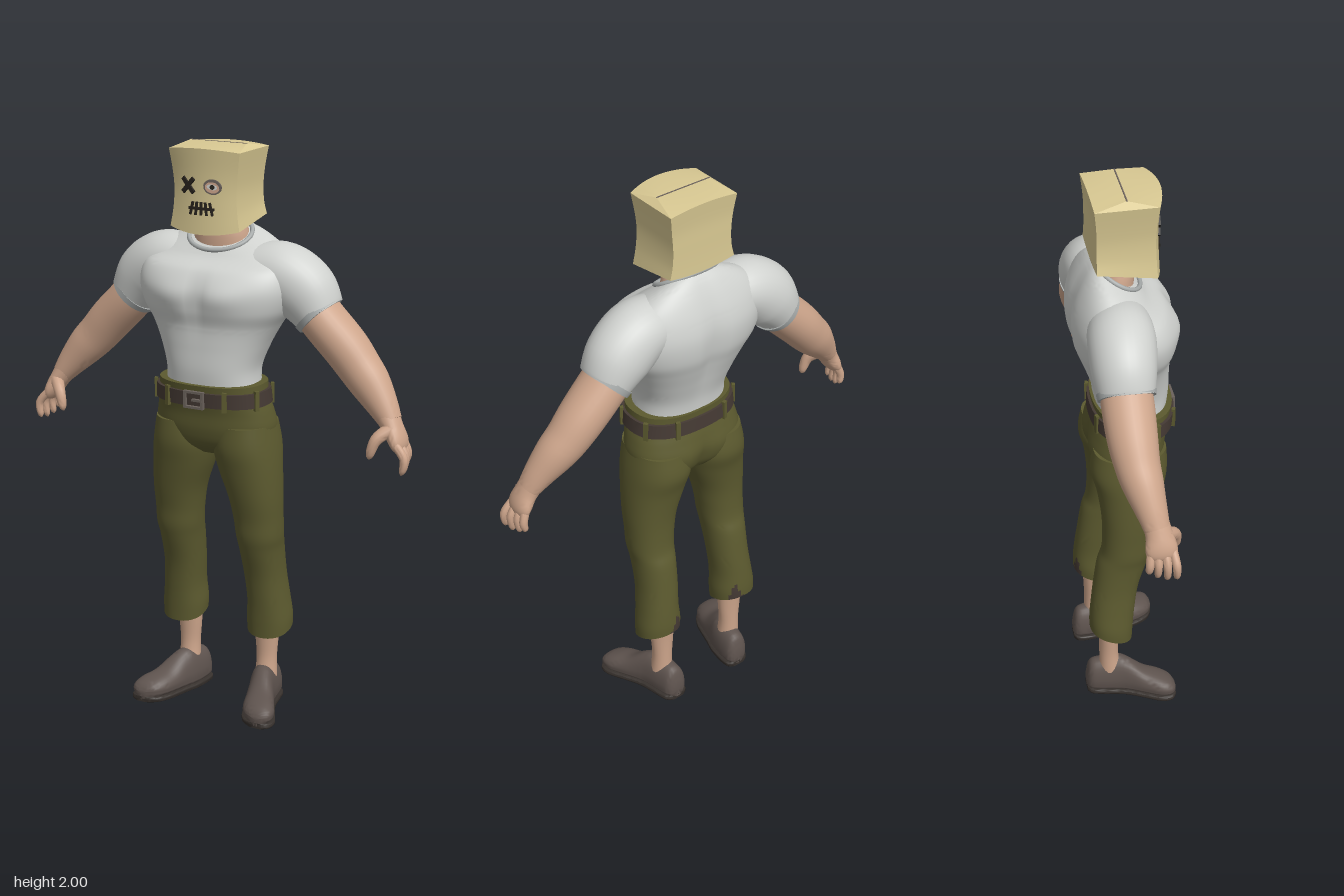
import * as THREE from 'three';
import { toCreasedNormals } from 'three/addons/utils/BufferGeometryUtils.js';

const COLORS = {
  skin: 0xcda58b, shirt: 0xd0d2cf, trim: 0xa9adac, trousers: 0x5c5a2f, belt: 0x453a34,
  buckle: 0x6b625c, shoe: 0x5f544f, paper: 0xd9c993, ink: 0x28231d, sole: 0x37312d,
};

// Catmull-Rom through rows of numbers
function spline(rows, t) {
  const n = rows.length - 1, k = Math.min(Math.floor(t * n), n - 1), f = t * n - k;
  const at = (i) => rows[Math.max(0, Math.min(n, i))];
  return rows[0].map((_, c) => {
    const [a, b, d, e] = [at(k - 1)[c], at(k)[c], at(k + 1)[c], at(k + 2)[c]];
    return b + 0.5 * f * (d - a + f * (2 * a - 5 * b + 4 * d - e + f * (3 * (b - d) + e - a)));
  });
}

// Capped skin over closed rings; point(t, angle) gives a position, pick chooses a material slot
function loft(rows, cols, point, pick) {
  const pos = [], idx = [], alt = [];
  for (let i = 0; i <= rows; i++)
    for (let j = 0; j < cols; j++) pos.push(...point(i / rows, (j / cols) * Math.PI * 2));
  for (let i = 0; i < rows; i++)
    for (let j = 0; j < cols; j++) {
      const a = i * cols + j, b = i * cols + ((j + 1) % cols);
      const list = pick && pick(i / rows, (j / cols) * Math.PI * 2) ? alt : idx;
      list.push(a, a + cols, b, b, a + cols, b + cols);
    }
  for (const i of [0, rows]) {
    const c = [0, 0, 0], mid = pos.length / 3;
    for (let j = 0; j < cols; j++) for (let k = 0; k < 3; k++) c[k] += pos[(i * cols + j) * 3 + k] / cols;
    pos.push(...c);
    for (let j = 0; j < cols; j++) {
      const a = i * cols + j, b = i * cols + ((j + 1) % cols);
      if (i) idx.push(mid, b, a); else idx.push(mid, a, b);
    }
  }
  const g = new THREE.BufferGeometry();
  g.setAttribute('position', new THREE.Float32BufferAttribute(pos, 3));
  g.setIndex([...idx, ...alt]);
  if (pick) { g.addGroup(0, idx.length, 0); g.addGroup(idx.length, alt.length, 1); }
  return g;
}

// Tube along points [x, y, z, radius in plane, radius in depth]
function limb(pts, rows = 16, cols = 20, round = false) {
  return loft(rows, cols, (t, a) => {
    const p = spline(pts, t), q0 = spline(pts, Math.max(0, t - 0.01)), q1 = spline(pts, Math.min(1, t + 0.01));
    const d = new THREE.Vector3(q1[0] - q0[0], q1[1] - q0[1], q1[2] - q0[2]).normalize();
    const e2 = new THREE.Vector3(0, 0, 1).addScaledVector(d, -d.z).normalize();
    const e1 = d.clone().cross(e2);
    const s = round ? Math.sqrt(Math.max(0.03, 1 - Math.max(0, (t - 0.75) / 0.25) ** 2)) : 1;
    return new THREE.Vector3(p[0], p[1], p[2]).addScaledVector(e1, Math.cos(a) * p[3] * s)
      .addScaledVector(e2, Math.sin(a) * p[4] * s).toArray();
  });
}

const spow = (v, e) => Math.sign(v) * Math.abs(v) ** e;

// Upright body from rows [y, centre x, half width, front z, back z, tilt]
function body(data, rows, cols, n = 2.4, shape = (x, y, z) => z, pick) {
  return loft(rows, cols, (t, a) => {
    const [y, cx, w, zf, zb, tilt] = spline(data, t);
    const x = cx + w * spow(Math.cos(a), 2 / n);
    const z = (zf + zb) / 2 + ((zf - zb) / 2) * spow(Math.sin(a), 2 / n);
    return [x, y - tilt * (z - (zf + zb) / 2), shape(x, y, z)];
  }, pick);
}

function mirrored(g) {
  const m = g.clone().applyMatrix4(new THREE.Matrix4().makeScale(-1, 1, 1)), ix = m.index.array;
  for (let i = 0; i < ix.length; i += 3) [ix[i], ix[i + 1]] = [ix[i + 1], ix[i]];
  return m;
}

export function createModel() {
  const model = new THREE.Group();
  model.name = 'figure';
  const mats = {};
  for (const k in COLORS) { mats[k] = new THREE.MeshStandardMaterial({ color: COLORS[k] }); mats[k].name = k; }
  const add = (name, g, mat, crease = 0.9) => {
    const m = new THREE.Mesh(crease ? toCreasedNormals(g, crease) : g, mat);
    m.name = name;
    model.add(m);
    return m;
  };
  const pair = (name, g, mat) => { add(name + 'Left', g, mat); add(name + 'Right', mirrored(g), mat); };
  const bell = (v, c, w) => Math.exp(-(((v - c) / w) ** 2));

  // Shirt with chest and back modelling
  add('shirt', body([
    [1.17, 0, 0.165, 0.145, -0.09, 0], [1.25, 0, 0.163, 0.155, -0.1, 0], [1.33, 0, 0.19, 0.155, -0.125, 0],
    [1.4, 0, 0.225, 0.157, -0.15, 0], [1.46, 0, 0.262, 0.17, -0.17, 0], [1.53, 0, 0.28, 0.168, -0.177, 0],
    [1.59, 0, 0.27, 0.137, -0.168, 0], [1.635, 0, 0.235, 0.09, -0.145, 0.15], [1.67, 0, 0.175, 0.07, -0.115, 0.4],
    [1.69, 0, 0.112, 0.06, -0.09, 0.6],
  ], 60, 72, 2.4, (x, y, z) => z > 0
    ? z + (0.013 * bell(Math.abs(x), 0.09, 0.075) * bell(y, 1.51, 0.05) - 0.012 * bell(x, 0, 0.025) * bell(y, 1.5, 0.09)) * Math.min(1, z / 0.08)
    : z + 0.018 * bell(x, 0, 0.035) * bell(y, 1.47, 0.16) * Math.min(1, -z / 0.08)), mats.shirt);
  pair('sleeve', limb([[0.12, 1.575, -0.03, 0.09, 0.1], [0.22, 1.57, -0.04, 0.108, 0.11],
    [0.3, 1.515, -0.048, 0.112, 0.106], [0.355, 1.445, -0.05, 0.086, 0.092]], 24, 32), mats.shirt);
  pair('sleeveHem', limb([[0.345, 1.456, -0.05, 0.091, 0.096], [0.36, 1.441, -0.05, 0.088, 0.094]], 2, 32), mats.trim);
  const ring = [];
  for (let i = 0; i < 24; i++) {
    const a = (i / 24) * Math.PI * 2, z = 0.076 * Math.sin(a);
    ring.push(new THREE.Vector3(0.113 * Math.cos(a), 1.692 - 0.6 * z, z - 0.015));
  }
  add('collar', new THREE.TubeGeometry(new THREE.CatmullRomCurve3(ring, true), 64, 0.008, 8, true), mats.trim, 0);
  add('neck', limb([[0, 1.6, -0.03, 0.11, 0.07], [0, 1.69, -0.025, 0.1, 0.066], [0, 1.74, -0.02, 0.088, 0.058], [0, 1.82, 0, 0.08, 0.06]], 12, 28), mats.skin);

  // Arms and hands
  pair('arm', limb([[0.3, 1.5, -0.05, 0.075, 0.08], [0.37, 1.425, -0.05, 0.077, 0.085], [0.45, 1.345, -0.05, 0.077, 0.081],
    [0.505, 1.283, -0.045, 0.073, 0.073], [0.55, 1.235, -0.035, 0.068, 0.066], [0.6, 1.175, -0.02, 0.053, 0.052],
    [0.637, 1.125, -0.008, 0.038, 0.042]], 32, 28), mats.skin);
  pair('palm', limb([[0.615, 1.155, -0.014, 0.042, 0.044], [0.645, 1.11, -0.004, 0.034, 0.044],
    [0.668, 1.07, 0, 0.028, 0.052], [0.684, 1.03, 0, 0.018, 0.048]], 14, 24, true), mats.skin);
  [[0.042, 0.965, 0.012], [0.014, 0.96, 0.005], [-0.014, 0.967, -0.003], [-0.04, 0.985, -0.008]].forEach(([z, y, dx], i) =>
    pair('finger' + (i + 1), limb([[0.67, 1.065, z * 0.85, 0.015, 0.014], [0.695 + dx, 1.02, z, 0.014, 0.014],
      [0.688 + dx, y, z * 1.05, 0.011, 0.011]], 10, 12, true), mats.skin));
  pair('thumb', limb([[0.65, 1.11, 0.015, 0.024, 0.024], [0.612, 1.075, 0.055, 0.02, 0.02],
    [0.592, 1.01, 0.064, 0.013, 0.014]], 12, 12, true), mats.skin);

  // Trousers: hips, then legs with a torn patch at the inner back of each hem
  add('hips', body([
    [0.945, 0, 0.1, 0.07, -0.08, 0], [0.985, 0, 0.19, 0.118, -0.112, 0], [1.04, 0, 0.215, 0.138, -0.125, 0],
    [1.1, 0, 0.207, 0.145, -0.112, 0], [1.15, 0, 0.193, 0.157, -0.1, 0], [1.205, 0, 0.188, 0.167, -0.102, 0],
  ], 24, 56, 2.4, (x, y, z) => z < 0 ? z + 0.02 * bell(x, 0, 0.03) * bell(y, 1.0, 0.07) : z), mats.trousers);
  pair('trouserLeg', body([
    [0.295, 0.17, 0.079, 0.005, -0.145, 0.33], [0.34, 0.169, 0.08, 0.008, -0.145, 0.25], [0.41, 0.167, 0.073, 0.015, -0.14, 0.1],
    [0.5, 0.16, 0.071, 0.03, -0.13, 0], [0.6, 0.157, 0.074, 0.06, -0.115, 0], [0.655, 0.157, 0.08, 0.075, -0.098, 0],
    [0.72, 0.154, 0.084, 0.083, -0.093, 0], [0.8, 0.147, 0.092, 0.1, -0.095, 0], [0.9, 0.128, 0.107, 0.12, -0.108, 0],
    [0.98, 0.116, 0.111, 0.135, -0.127, 0], [1.06, 0.115, 0.098, 0.132, -0.115, 0],
  ], 48, 40, 2.2, undefined, (t, a) => t < 0.13 && Math.abs(a - 4.2) < 0.4 * (1 - t / 0.15)), [mats.trousers, mats.belt]);

  // Belt, loops and buckle
  add('belt', body([[1.133, 0, 0.204, 0.168, -0.112, 0], [1.183, 0, 0.199, 0.173, -0.109, 0]], 2, 56), mats.belt);
  [20, 62, 118, 160, 205, 245, 295, 335].forEach((deg, i) => {
    const a = (deg * Math.PI) / 180, c = Math.cos(a), s = Math.sin(a);
    const x = 0.203 * spow(c, 2 / 2.4), z = 0.031 + 0.142 * spow(s, 2 / 2.4);
    const loop = add('beltLoop' + (i + 1), new THREE.BoxGeometry(0.016, 0.068, 0.012), mats.trousers);
    loop.position.set(x, 1.158, z);
    loop.rotation.y = Math.atan2(c / 0.203, s / 0.142);
  });
  const box = (name, w, h, d, x, y, z, mat) => {
    const m = add(name, new THREE.BoxGeometry(w, h, d), mat);
    m.position.set(x, y, z);
    return m;
  };
  for (const s of [-1, 1]) {
    box('buckleSide', 0.009, 0.06, 0.012, s * 0.033, 1.158, 0.174, mats.buckle);
    box('buckleBar', 0.066, 0.008, 0.012, 0, 1.158 + s * 0.026, 0.174, mats.buckle);
  }
  box('bucklePin', 0.04, 0.008, 0.012, 0.015, 1.158, 0.176, mats.buckle);

  // Ankles and shoes, toes turned out
  pair('ankle', limb([[0.157, 0.36, -0.075, 0.05, 0.044], [0.155, 0.25, -0.075, 0.043, 0.036],
    [0.155, 0.17, -0.075, 0.037, 0.034], [0.155, 0.1, -0.07, 0.04, 0.04]], 10, 20), mats.skin);
  const last = [[-0.155, 0.143, 0.022, 0.075], [-0.14, 0.144, 0.041, 0.125], [-0.1, 0.148, 0.048, 0.138], [-0.04, 0.158, 0.05, 0.148],
    [0, 0.172, 0.051, 0.132], [0.05, 0.192, 0.057, 0.097], [0.1, 0.212, 0.061, 0.082], [0.138, 0.224, 0.048, 0.066], [0.156, 0.229, 0.02, 0.045]];
  const shoe = (lo, mid, grow, top, n) => loft(32, 32, (t, a) => {
    const [z, cx, w, h] = spline(last, t), s = spow(Math.sin(a), 2 / n);
    return [cx - (w + grow) * spow(Math.cos(a), 2 / n), mid + s * (s > 0 ? (top || h) - mid : mid - lo), z];
  });
  pair('shoe', shoe(0.008, 0.04, 0, 0, 2.3), mats.shoe);
  pair('sole', shoe(0, 0.01, 0.004, 0.02, 6), mats.sole);

  // Paper bag with a folded top
  const bulge = (u) => 0.026 * (1 - u * u);
  const square = (v) => Math.max(-1, Math.min(1, v * Math.SQRT2));
  const bagRows = [[1.738, 0.129, 0.096, -0.1, 0.16], [1.79, 0.119, 0.093, -0.099, 0.06], [1.85, 0.116, 0.091, -0.099, 0],
    [1.91, 0.121, 0.093, -0.1, 0], [1.98, 0.131, 0.1, -0.107, 0]];
  const bagPoint = (t, a) => {
    const [y, w, zf, zb, tilt] = spline(bagRows, t), u = square(Math.cos(a)), v = square(Math.sin(a));
    const z = v > 0 ? v * (zf + bulge(u)) : -v * zb;
    return [u * w, y - tilt * z - (1 - t) * 0.012 * (1 - u * u) + t * 0.01 * (1 - u * u) * v * v, z];
  };
  add('paperBag', loft(20, 48, bagPoint), mats.paper, 0.6);
  add('bagTop', loft(1, 48, (t, a) => {
    const p = bagPoint(1, a);
    return t ? [p[0] * 0.8, 1.998, p[2] * 0.02] : p;
  }), mats.paper, 0.3);
  add('bagFold', new THREE.BoxGeometry(0.21, 0.004, 0.005), mats.buckle).position.set(0, 1.997, 0);

  // Drawn face: crossed eye, torn eye hole, stitched mouth
  const plate = (name, g, mat, x, y, roll = 0, lift = 0.001) => {
    const m = add(name, g, mat);
    m.position.set(x, y, 0.0925 + bulge(x / 0.117) + lift);
    m.rotation.set(0, Math.atan(3.8 * x), roll);
  };
  for (const s of [-1, 1]) plate('crossEye', new THREE.BoxGeometry(0.064, 0.014, 0.008), mats.ink, -0.05, 1.867, s * 0.82);
  const disc = (rx, ry) => new THREE.CylinderGeometry(1, 1, 0.008, 24).rotateX(Math.PI / 2).scale(rx, ry, 1);
  plate('eyeHole', disc(0.031, 0.025), mats.buckle, 0.041, 1.867, -0.15);
  plate('eyeSkin', disc(0.025, 0.018), mats.skin, 0.041, 1.865, -0.15, 0.002);
  plate('eyeWhite', disc(0.018, 0.009), mats.shirt, 0.041, 1.867, -0.15, 0.003);
  plate('pupil', disc(0.008, 0.008), mats.ink, 0.042, 1.867, 0, 0.004);
  for (const x of [-0.034, -0.011, 0.011, 0.034])
    plate('mouthLine', new THREE.BoxGeometry(0.026, 0.009, 0.008), mats.ink, x, 1.793);
  [-0.036, -0.018, 0, 0.018, 0.036].forEach((x, i) =>
    plate('stitch', new THREE.BoxGeometry(0.008, 0.044, 0.008), mats.ink, x, 1.793, (i - 2) * 0.12));

  return model;
}
